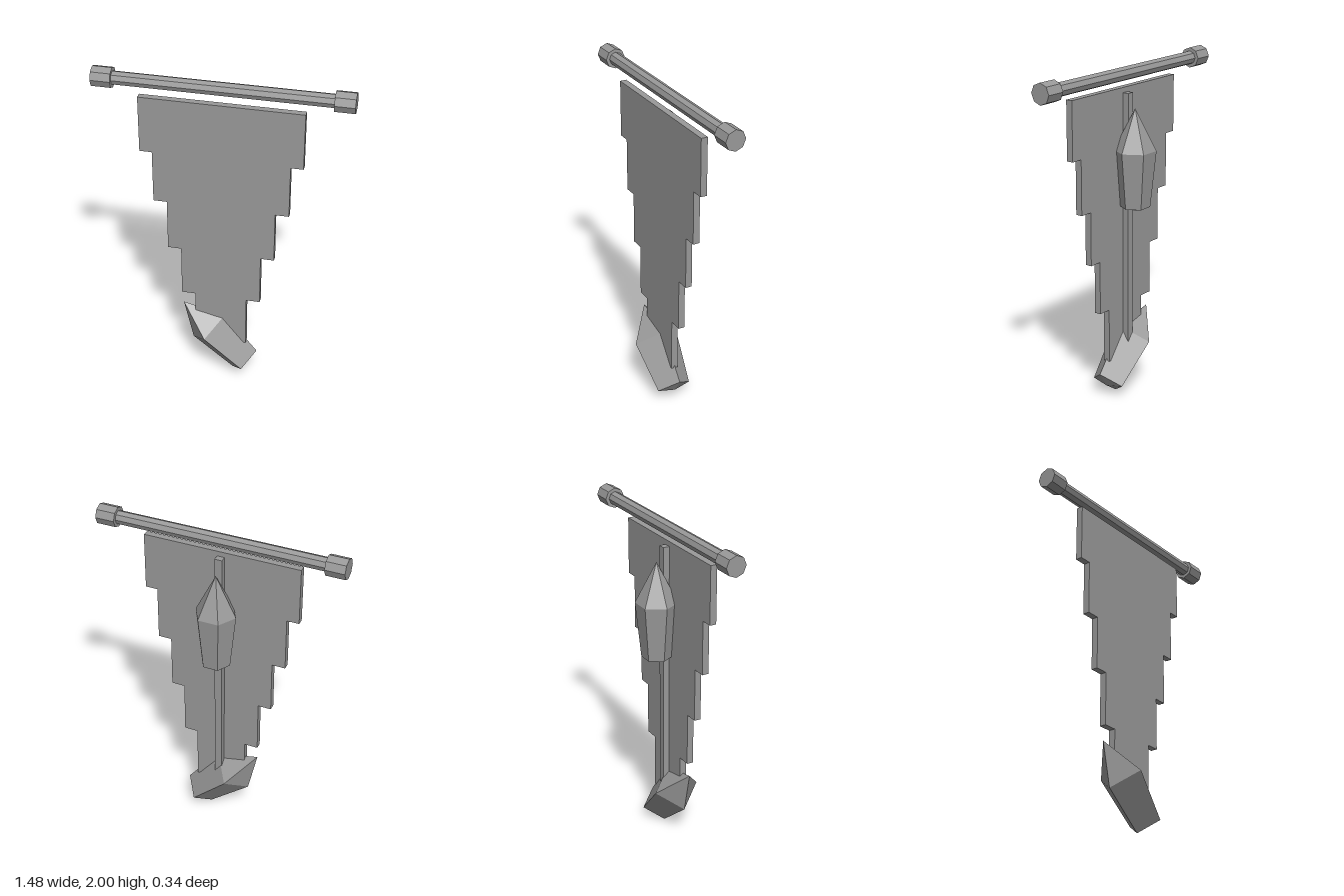
import * as THREE from 'three';

export function createModel() {
  const model = new THREE.Group();
  const grey = new THREE.MeshStandardMaterial({ color: 0x999999, flatShading: true });
  grey.name = 'grey stone';

  function add(name, geometry, x, y, z) {
    const mesh = new THREE.Mesh(geometry, grey);
    mesh.name = name;
    mesh.position.set(x, y, z);
    model.add(mesh);
    return mesh;
  }

  // Faceted crystal; its origin is the centre of the widest ring
  function crystal(sides, wide, narrow, tip, body, base) {
    const profile = [[0, -body - base], [narrow, -body], [wide, 0], [0, tip]]
      .map(([r, y]) => new THREE.Vector2(r, y));
    const geometry = new THREE.LatheGeometry(profile, sides).toNonIndexed();
    geometry.computeVertexNormals();
    return geometry;
  }

  // Crossbar with octagonal end caps
  const octagon = (radius, length) =>
    new THREE.CylinderGeometry(radius, radius, length, 8).rotateZ(Math.PI / 2);
  add('crossbar', octagon(0.04, 1.26), 0, 1.94, -0.003);
  for (const side of [-1, 1]) {
    add(side > 0 ? 'leftCap' : 'rightCap', octagon(0.061, 0.115), side * 0.682, 1.94, -0.003);
  }

  // Stepped banner, one outline narrowing towards the bottom
  const steps = [[0.473, 1.86, 1.515], [0.4, 1.515, 1.19], [0.32, 1.19, 0.87],
    [0.24, 0.87, 0.55], [0.157, 0.55, 0.22]];
  const right = steps.flatMap(([w, top, bottom]) => [[w, top], [w, bottom]]);
  const left = right.map(([x, y]) => [-x, y]).reverse();
  const outline = new THREE.Shape([...right, ...left].map(([x, y]) => new THREE.Vector2(x, y)));
  add('banner', new THREE.ExtrudeGeometry(outline, { depth: 0.04, bevelEnabled: false }), 0, 0, 0.005);

  // Spine running down the back
  add('backSpine', new THREE.BoxGeometry(0.045, 1.55, 0.039), 0, 1.055, -0.0135);

  // Six-sided crystal on the back
  const back = add('backCrystal', crystal(6, 0.124, 0.089, 0.245, 0.335, 0.025), 0, 1.5, -0.065);
  back.rotation.y = Math.PI / 6;

  // Four-sided crystal set diagonally at the foot
  const foot = add('footCrystal', crystal(4, 0.142, 0.107, 0.225, 0.316, 0.022), -0.076, 0.301, 0.025);
  foot.rotation.z = Math.PI / 4;

  return model;
}
